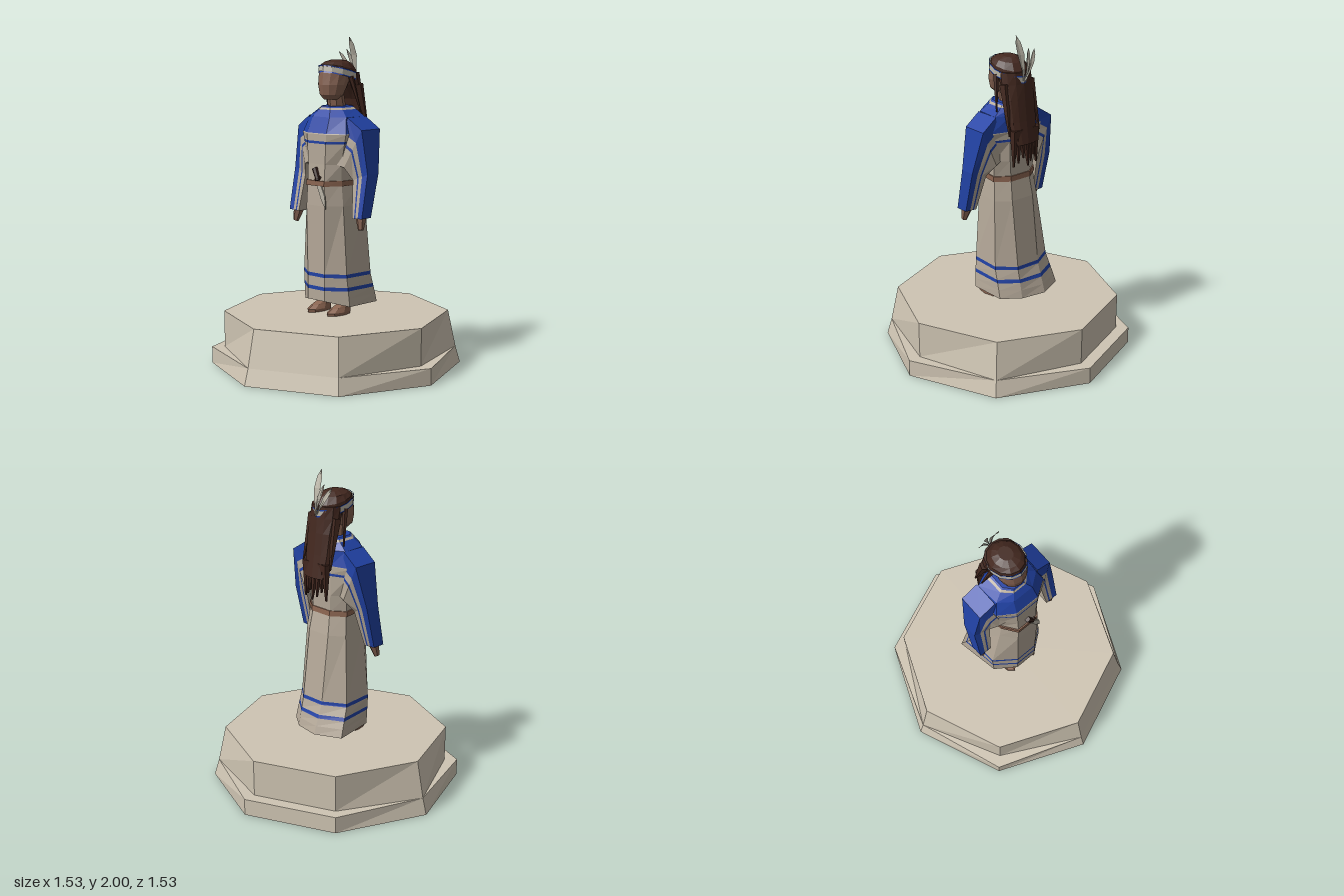
import * as THREE from 'three';

const V = (x, y, z) => new THREE.Vector3(x, y, z);
const paint = (color) => new THREE.MeshStandardMaterial({ color, flatShading: true, side: THREE.DoubleSide });
const MAT = {
  stone: paint(0xcfc5b3), cloth: paint(0xb5a999), blue: paint(0x2142a5), skin: paint(0x83604f),
  hair: paint(0x43281f), leather: paint(0x8a6450), dark: paint(0x3b241d), feather: paint(0xb9b4a6),
};

function add(parent, name, geometry, material) {
  const mesh = new THREE.Mesh(geometry, material);
  mesh.name = name;
  parent.add(mesh);
  return mesh;
}

// Skin a list of point rows (bottom to top); rows run from front towards +x.
function loft(rows, { closed = true, bottom = false, top = false } = {}) {
  const pos = [];
  const tri = (a, b, c) => {
    const n = b.clone().sub(a).cross(c.clone().sub(a));
    if (n.lengthSq() > 1e-14) for (const p of [a, b, c]) pos.push(p.x, p.y, p.z);
  };
  for (let r = 0; r + 1 < rows.length; r++) {
    const lo = rows[r], hi = rows[r + 1], n = lo.length;
    for (let i = 0; i < (closed ? n : n - 1); i++) {
      const j = (i + 1) % n;
      tri(lo[i], lo[j], hi[j]);
      tri(lo[i], hi[j], hi[i]);
    }
  }
  const cap = (row, up) => {
    const c = row.reduce((s, p) => s.add(p), V(0, 0, 0)).divideScalar(row.length);
    row.forEach((p, i) => {
      const q = row[(i + 1) % row.length];
      up ? tri(c, p, q) : tri(c, q, p);
    });
  };
  if (bottom) cap(rows[0], false);
  if (top) cap(rows[rows.length - 1], true);
  const g = new THREE.BufferGeometry();
  g.setAttribute('position', new THREE.Float32BufferAttribute(pos, 3));
  g.computeVertexNormals();
  return g;
}

// Elliptic ring spanning zBack..zFront, optionally tilted upward to the front.
function oval(y, rx, zFront, zBack, tilt = 0, n = 12) {
  return Array.from({ length: n }, (_, i) => {
    const a = (i / n) * Math.PI * 2;
    const z = (zFront + zBack) / 2 + Math.cos(a) * (zFront - zBack) / 2;
    return V(Math.sin(a) * rx, y + tilt * z, z);
  });
}

// Tapered stick between two points
function taper(parent, name, a, b, ra, rb, mat, sides = 5) {
  const mesh = add(parent, name, new THREE.CylinderGeometry(rb, ra, a.distanceTo(b), sides), mat);
  mesh.position.copy(a).add(b).multiplyScalar(0.5);
  mesh.quaternion.setFromUnitVectors(V(0, 1, 0), b.clone().sub(a).normalize());
  return mesh;
}

// Robe cross-sections: front, side-front, side-back and back points, mirrored in x
const half = (y, ...p) => {
  const side = [0, 2, 4, 6].map((i) => V(p[i], y, p[i + 1]));
  return [...side, ...side.map((v) => V(-v.x, v.y, v.z)).reverse()];
};
const ROBE = [
  [V(.07, .57, .175), V(.175, .57, .09), V(.185, .57, -.11), V(.08, .57, -.2),
    V(-.08, .57, -.2), V(-.215, .57, -.12), V(-.2, .57, .08), V(-.07, .57, .175)],
  half(1.0, .075, .18, .145, .09, .165, -.08, .08, -.145),
  half(1.14, .07, .175, .13, .09, .15, -.06, .07, -.12),
  half(1.25, .07, .17, .14, .1, .16, -.07, .08, -.125),
  half(1.43, .08, .17, .18, .105, .2, -.09, .08, -.125),
  half(1.53, .07, .13, .15, .07, .16, -.08, .07, -.12),
  half(1.59, .035, .09, .08, .04, .08, -.06, .035, -.1),
];
const HEM = [V(.07, .42, .175), V(.19, .39, .08), V(.19, .39, -.16), V(.08, .39, -.24),
  V(-.08, .39, -.265), V(-.24, .39, -.19), V(-.19, .39, .08), V(-.07, .42, .175)];
ROBE.unshift(HEM.map((p, i) => p.clone().lerp(ROBE[0][i], .25).setY(.44)));

function robeRing(y) {
  let k = 0;
  while (k < ROBE.length - 2 && ROBE[k + 1][0].y < y) k++;
  const t = (y - ROBE[k][0].y) / (ROBE[k + 1][0].y - ROBE[k][0].y);
  return ROBE[k].map((p, i) => p.clone().lerp(ROBE[k + 1][i], t));
}

function makeRobe(parent) {
  const robe = new THREE.Group();
  robe.name = 'robe';
  parent.add(robe);
  const bands = [
    ['hem', 'cloth', .44, .485], ['lowerHemStripe', 'blue', .485, .507], ['hemBand', 'cloth', .507, .565],
    ['upperHemStripe', 'blue', .565, .587], ['skirtAndChest', 'cloth', .587, 1.373], ['chestStripe', 'blue', 1.373, 1.388],
    ['chestBand', 'cloth', 1.388, 1.435], ['yoke', 'blue', 1.435, 1.572],
    ['collar', 'cloth', 1.572, 1.583], ['collarEdge', 'blue', 1.583, 1.592],
  ];
  for (const [name, mat, y0, y1] of bands) {
    const ys = [y0, ...ROBE.map((r) => r[0].y).filter((y) => y > y0 + .002 && y < y1 - .002), y1];
    const rows = ys.map(robeRing);
    if (name === 'hem') rows.unshift(HEM);
    add(robe, name, loft(rows, { top: name === 'collarEdge' }), MAT[mat]);
  }
  // Belt
  const wide = (y, s) => robeRing(y).map((p) => V(p.x * s, p.y, p.z * s));
  add(robe, 'belt', loft([wide(1.12, 1), wide(1.12, 1.05), wide(1.152, 1.05), wide(1.152, 1)]), MAT.leather);
}

// Sleeve sections from shoulder to cuff: outer x,y / inner x,y / zFront outer, inner / zBack / stripe fractions
const SLEEVE = [
  [.16, 1.53, .12, 1.25, .07, .12, -.09, .33, .5, .56],
  [.265, 1.46, .165, 1.235, .06, .105, -.1, .33, .52, .59],
  [.305, 1.2, .2, 1.16, .05, .065, -.045, .38, .6, .7],
  [.305, .94, .225, .935, .1, .1, .02, .42, .65, .78],
];

function makeArm(side) {
  const arm = new THREE.Group();
  arm.name = side > 0 ? 'leftArm' : 'rightArm';
  const cuts = SLEEVE.map(([ox, oy, ix, iy, zo, zi, zb, ...t]) => {
    const oF = V(ox, oy, zo), iF = V(ix, iy, zi), oB = V(ox, oy, zb), iB = V(ix, iy, zb);
    return { oF, iF, oB, iB, F: t.map((k) => oF.clone().lerp(iF, k)), B: t.map((k) => oB.clone().lerp(iB, k)) };
  }).reverse();
  const strip = (name, mat, pick) => add(arm, name, loft(cuts.map(pick), { closed: false }), mat);
  strip('sleeveOuter', MAT.blue, (c) => [c.F[0], c.oF, c.oB, c.B[0]]);
  strip('sleeveInner', MAT.cloth, (c) => [c.B[2], c.iB, c.iF, c.F[2]]);
  for (const [k, s] of [['F', 'Front'], ['B', 'Back']]) {
    strip('sleeveBand' + s, MAT.cloth, (c) => [c[k][0], c[k][1]]);
    strip('sleeveStripe' + s, MAT.blue, (c) => [c[k][1], c[k][2]]);
  }
  const end = cuts[0];
  add(arm, 'cuff', loft([[end.iF, end.iB], [end.oF, end.oB]], { closed: false }), MAT.cloth);
  // Hand
  taper(arm, 'hand', V(.275, .868, .075), V(.262, .95, .06), .017, .035, MAT.skin, 6);
  arm.scale.x = side;
  return arm;
}

function makeHead(parent) {
  const head = new THREE.Group();
  head.name = 'head';
  parent.add(head);
  taper(head, 'neck', V(0, 1.55, -.01), V(0, 1.68, .01), .055, .05, MAT.skin, 8);
  add(head, 'face', loft([oval(1.632, .045, .09, .01), oval(1.66, .075, .112, -.03), oval(1.72, .092, .12, -.06),
    oval(1.79, .098, .113, -.1), oval(1.83, .09, .095, -.1)], { bottom: true, top: true }), MAT.skin);
  // Tilted headband with coloured edges
  const band = (name, y0, y1, r, mat) => add(head, name, loft([oval(y0, r, .115, -.157, .27), oval(y1, r, .11, -.157, .27)]), mat);
  band('headbandLowerEdge', 1.765, 1.773, .112, MAT.blue);
  band('headband', 1.773, 1.803, .112, MAT.feather);
  band('headbandUpperEdge', 1.803, 1.811, .112, MAT.blue);
  // Hair: crown, long back fall, ragged ends and side locks
  add(head, 'crown', loft([oval(1.775, .107, .107, -.152, .27), oval(1.822, .102, .098, -.14, .2),
    oval(1.85, .08, .07, -.11, .1), oval(1.867, .04, .025, -.07, .05)], { top: true }), MAT.hair);
  add(head, 'backHair', loft([oval(1.36, .085, -.135, -.2), oval(1.5, .1, -.1, -.18), oval(1.63, .104, -.07, -.165),
    oval(1.72, .107, -.01, -.155), oval(1.79, .104, .02, -.15)], { bottom: true, top: true }), MAT.hair);
  for (let i = -3; i <= 3; i++) {
    const drop = [0, .05, .02][(i + 3) % 3];
    taper(head, 'hairEnd', V(i * .029, 1.225 + drop, -.195 + Math.abs(i) * .01), V(i * .026, 1.45, -.16), .006, .03, MAT.hair);
  }
  for (const s of [-1, 1]) {
    taper(head, 'sideLock', V(s * .138, 1.555, -.07), V(s * .1, 1.77, -.02), .004, .018, MAT.hair);
    taper(head, 'rearLock', V(s * .115, 1.42, -.16), V(s * .095, 1.72, -.09), .005, .032, MAT.hair);
  }
  // Feathers: thin bent leaves
  const feather = (base, tip, width, bend) => {
    const across = V(1, 0, 0).projectOnPlane(tip.clone().sub(base).normalize()).normalize();
    const rows = [[0, .15], [.3, .5], [.6, 1], [.85, .8], [1, .05]].map(([t, w]) => {
      const c = base.clone().lerp(tip, t);
      c.z -= bend * Math.sin(t * Math.PI);
      const o = across.clone().multiplyScalar(width * w);
      return [c.clone().sub(o), c.clone().add(V(0, 0, .004)), c.clone().add(o)];
    });
    add(head, 'feather', loft(rows, { closed: false }), MAT.feather);
  };
  feather(V(.005, 1.73, -.16), V(.015, 2.0, -.1), .025, .018);
  feather(V(-.005, 1.74, -.162), V(-.1, 1.91, -.13), .016, .012);
  feather(V(0, 1.74, -.163), V(-.045, 1.925, -.14), .014, .012);
}

export function createModel() {
  const model = new THREE.Group();
  model.name = 'statue';

  // Octagonal plinth, open below; some corners step in and others slope
  const steps = [0, 0, 1, 0, 1, 1, 0, 1];
  const corners = (y, radius) => steps.map((s, i) =>
    V(Math.sin(i * Math.PI / 4) * radius(s), y, Math.cos(i * Math.PI / 4) * radius(s)));
  add(model, 'plinth', loft([corners(0, () => .767), corners(.102, (s) => (s ? .767 : .738)),
    corners(.102, (s) => (s ? .688 : .738)), corners(.328, () => .69)], { top: true }), MAT.stone);

  makeRobe(model);
  model.add(makeArm(1), makeArm(-1));
  makeHead(model);

  // Legs and shoes
  for (const s of [-1, 1]) {
    const x = s * .083;
    taper(model, 'leg', V(x, .34, .01), V(x, .55, 0), .034, .04, MAT.skin, 6);
    const sole = (y, rx, f, b) => oval(y, rx, f, b, 0, 8).map((p) => p.add(V(x, 0, 0)));
    add(model, 'shoe', loft([sole(.328, .046, .16, -.03), sole(.345, .047, .163, -.032),
      sole(.368, .038, .12, -.025), sole(.39, .034, .06, -.02)], { bottom: true, top: true }), MAT.leather);
  }

  // Knife tucked in the belt
  taper(model, 'knifeHandle', V(.03, 1.155, .187), V(-.005, 1.225, .18), .014, .018, MAT.dark, 6);
  taper(model, 'knifeGuard', V(.008, 1.157, .187), V(.048, 1.175, .187), .009, .009, MAT.dark, 5);
  const outline = [[.02, 1.122], [.055, 1.122], [.085, 1.06], [.09, .985], [.055, 1.04]];
  const blade = new THREE.Shape(outline.map(([x, y]) => new THREE.Vector2(x, y)));
  add(model, 'knifeBlade', new THREE.ExtrudeGeometry(blade, { depth: .008, bevelEnabled: false }), MAT.feather).position.z = .18;
  return model;
}
